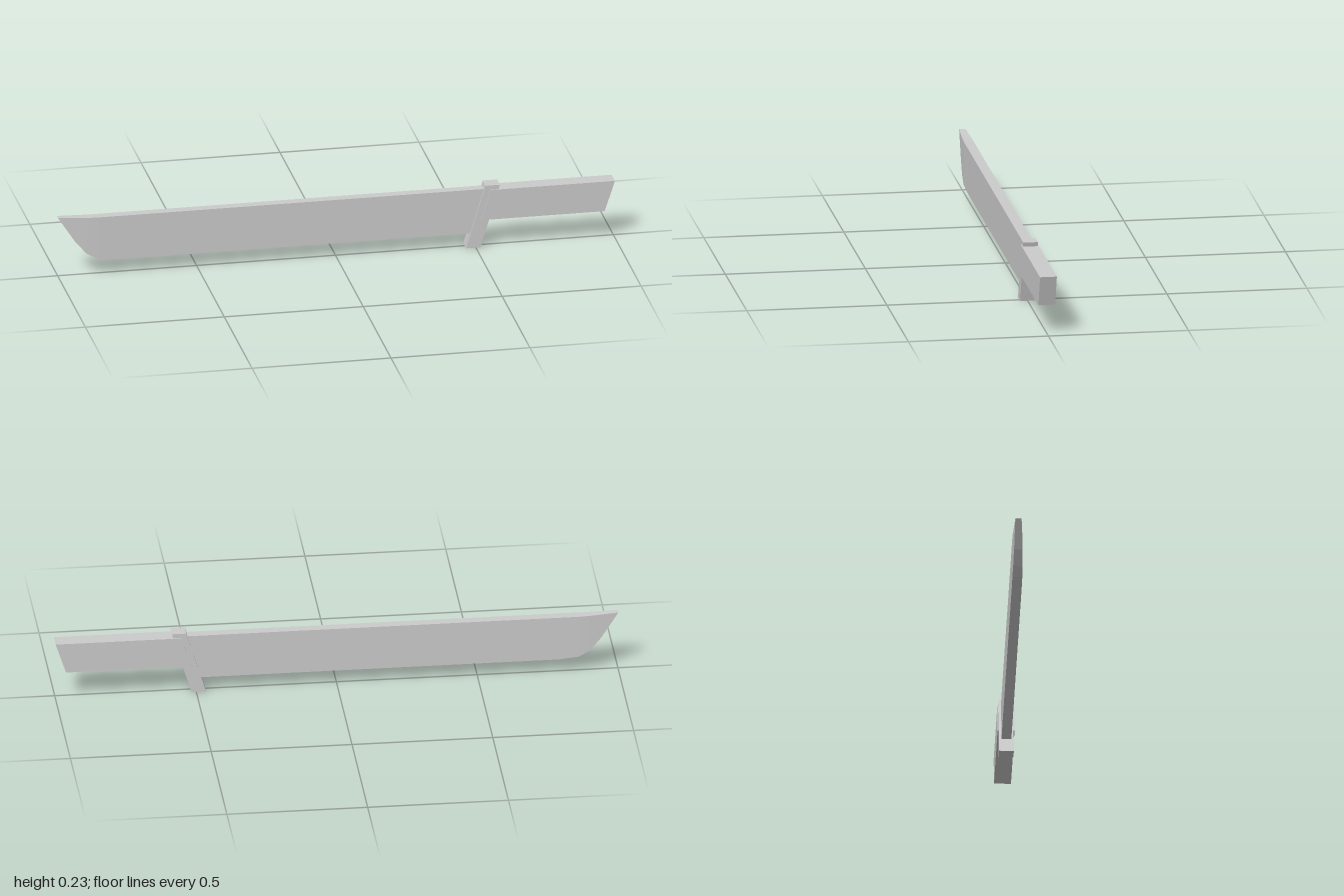
import * as THREE from 'three';

const material = new THREE.MeshStandardMaterial({ color: 0xcccccc, flatShading: true });

// Lofts rectangular sections running along +x.
// Each section: [top x, top y, bottom x, bottom y, half thickness]
function loft(name, sections) {
  const positions = [];
  const index = [];
  for (const [tx, ty, bx, by, h] of sections) {
    positions.push(tx, ty, h, tx, ty, -h, bx, by, -h, bx, by, h);
  }
  for (let s = 0; s < sections.length - 1; s++) {
    for (let i = 0; i < 4; i++) {
      const a = s * 4 + i;
      const b = s * 4 + (i + 1) % 4;
      index.push(a, a + 4, b, b, a + 4, b + 4);
    }
  }
  const e = (sections.length - 1) * 4;
  index.push(0, 1, 2, 0, 2, 3, e, e + 2, e + 1, e, e + 3, e + 2);

  const indexed = new THREE.BufferGeometry();
  indexed.setAttribute('position', new THREE.Float32BufferAttribute(positions, 3));
  indexed.setIndex(index);
  const geometry = indexed.toNonIndexed();
  geometry.computeVertexNormals();
  const mesh = new THREE.Mesh(geometry, material);
  mesh.name = name;
  return mesh;
}

export function createModel() {
  const group = new THREE.Group();
  group.name = 'sword';

  // Long flat blade, thinning towards the swept-up tip
  group.add(loft('blade', [
    [-1, 0.223, -1, 0.222, 0.011],
    [-0.94, 0.22, -0.94, 0.13, 0.014],
    [-0.9, 0.218, -0.9, 0.083, 0.016],
    [-0.86, 0.217, -0.86, 0.06, 0.0175],
    [-0.79, 0.217, -0.79, 0.053, 0.0175],
    [0.55, 0.217, 0.5, 0.053, 0.0175],
  ]));

  // Slanted guard bar
  group.add(loft('guard', [
    [0.535, 0.232, 0.465, 0, 0.026],
    [0.587, 0.232, 0.517, 0, 0.026],
  ]));

  // Grip, slightly thicker than the guard, with slanted ends
  group.add(loft('handle', [
    [0.553, 0.216, 0.519, 0.104, 0.03],
    [1, 0.216, 0.963, 0.104, 0.03],
  ]));

  return group;
}
